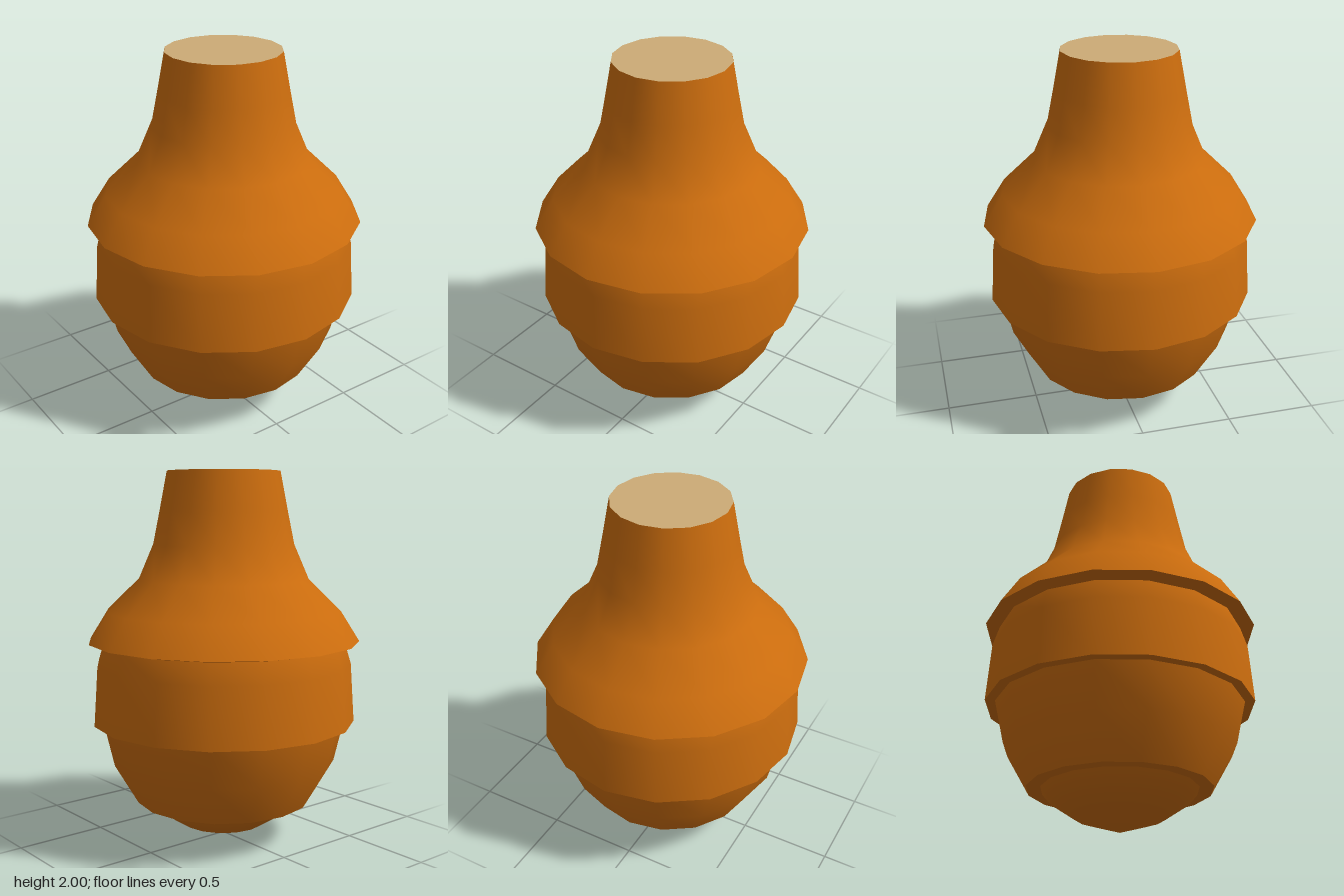
import * as THREE from 'three';

export function createModel() {
  const model = new THREE.Group();
  model.name = 'layeredBulb';

  const orange = new THREE.MeshStandardMaterial({ color: 0xcc6d0e });
  orange.name = 'burnt orange';
  const tan = new THREE.MeshStandardMaterial({ color: 0xcdab76 });
  tan.name = 'pale tan';

  // Each part is a 16-sided lathe, smooth inside and sharp where parts meet
  const addRing = (name, profile, material = orange) => {
    const points = profile.map(([r, y]) => new THREE.Vector2(r, y));
    const mesh = new THREE.Mesh(new THREE.LatheGeometry(points, 16), material);
    mesh.name = name;
    model.add(mesh);
  };

  // Pointed base
  addRing('baseTip', [[0, 0], [0.235, 0.077], [0.36, 0.16], [0.41, 0.217]]);
  addRing('lowerLedge', [[0.41, 0.217], [0.483, 0.217]]);

  // Lower bowl
  addRing('lowerLayer', [[0.483, 0.217], [0.61, 0.436], [0.662, 0.66]]);
  addRing('middleLedge', [[0.662, 0.66], [0.715, 0.66]]);

  // Middle band
  addRing('middleLayer', [[0.715, 0.66], [0.693, 0.975], [0.66, 1.085]]);
  addRing('upperLedge', [[0.66, 1.085], [0.735, 1.1]]);

  // Shoulder and neck
  addRing('upperLayer', [
    [0.735, 1.1], [0.633, 1.262], [0.46, 1.43], [0.38, 1.615], [0.344, 1.79], [0.303, 2],
  ]);

  // Cut end of the neck
  addRing('cutTop', [[0.303, 2], [0, 2]], tan);

  return model;
}
